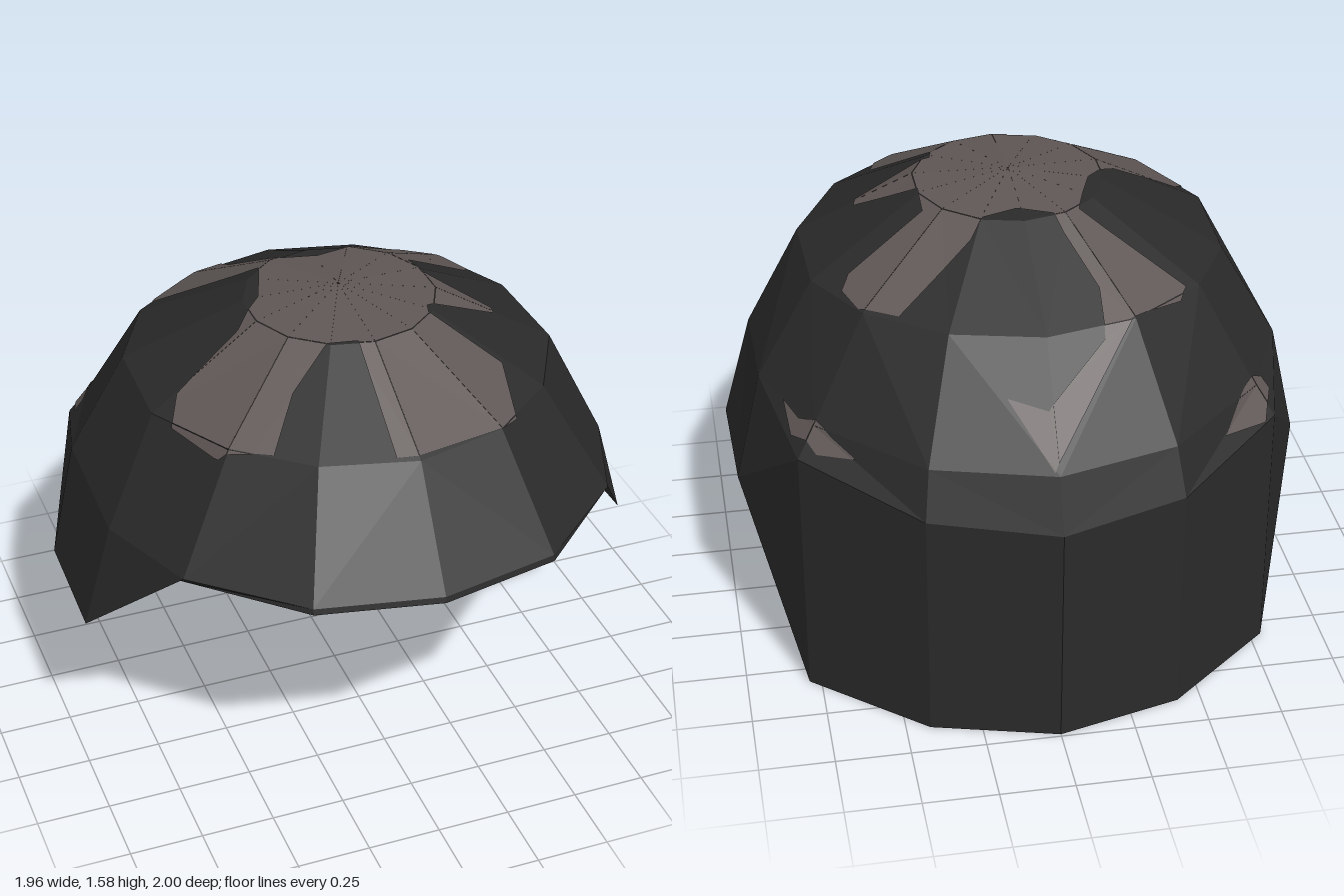
import * as THREE from 'three';

const dark = new THREE.MeshStandardMaterial({ color: 0x2a2a2a, side: THREE.DoubleSide, flatShading: true });
dark.name = 'charcoal';
const light = new THREE.MeshStandardMaterial({ color: 0x5f5755, side: THREE.DoubleSide, flatShading: true });
light.name = 'warmGrey';

// Half rings of the shell, front centre round the left side to back centre: [x, y, z]
const crown = Array.from({ length: 8 }, (_, i) => {
  const a = i * Math.PI / 7;
  return [0.32 * Math.sin(a), 1.545, 0.045 + 0.325 * Math.cos(a)];
});
const brow = [[0, 1.34, 0.77], [0.31, 1.34, 0.69], [0.54, 1.34, 0.5], [0.7, 1.33, 0.2],
  [0.69, 1.33, -0.17], [0.55, 1.34, -0.43], [0.3, 1.34, -0.61], [0, 1.34, -0.68]];
const rim = [[0, 0.97, 0.995], [0.41, 0.97, 0.91], [0.74, 0.97, 0.62], [0.88, 0.96, 0.26],
  [0.88, 1.0, -0.19], [0.73, 1.0, -0.53], [0.4, 0.98, -0.82], [0, 0.98, -0.93]];
const skirt = [[0, 0.95, 1], [0.41, 0.95, 0.915], [0.75, 0.955, 0.6], [0.98, 0.6, 0.26],
  [0.97, 0.6, -0.18], [0.79, 0.9, -0.57], [0.42, 0.82, -0.88], [0, 0.8, -1]];
const hem = skirt.map(([x, y, z], i) => (i < 5 ? [x, y, z] : [x, 0, i === 7 ? -0.99 : z]));

// Complete a ring by mirroring
const fullRing = half => [...half, ...half.slice(1, 7).reverse().map(([x, y, z]) => [-x, y, z])]
  .map(p => new THREE.Vector3(...p));

// Triangles between two rings, leaving out collapsed ones
function band(upper, lower) {
  const u = fullRing(upper), l = fullRing(lower), out = [];
  for (let i = 0; i < 14; i++) {
    const j = (i + 1) % 14;
    // mirror the diagonal on the other side
    const pair = i < 7 ? [[u[i], l[i], l[j]], [u[i], l[j], u[j]]]
      : [[u[i], l[i], u[j]], [u[j], l[i], l[j]]];
    out.push(...pair.filter(t => new THREE.Triangle(...t).getArea() > 1e-6));
  }
  return out;
}

function meshFrom(triangles, material, name) {
  const geometry = new THREE.BufferGeometry().setFromPoints(triangles.flat());
  geometry.computeVertexNormals();
  const mesh = new THREE.Mesh(geometry, material);
  mesh.name = name;
  return mesh;
}

// Lay a plan outline [x, z, x, z, ...] over the shell as a thin skin
function drape(outline, triangles) {
  const out = [];
  for (const tri of triangles) {
    const n = new THREE.Triangle(...tri).getNormal(new THREE.Vector3());
    if (n.y < 0.08) continue;
    let poly = [];
    for (let i = 0; i < outline.length; i += 2) poly.push(new THREE.Vector2(outline[i], outline[i + 1]));
    // clip the outline to the facet
    for (let k = 0; k < 3 && poly.length; k++) {
      const a = tri[k], b = tri[(k + 1) % 3];
      const side = p => (b.z - a.z) * (p.x - a.x) - (b.x - a.x) * (p.y - a.z);
      const next = [];
      poly.forEach((p, i) => {
        const q = poly[(i + 1) % poly.length], sp = side(p), sq = side(q);
        if (sp >= 0) next.push(p);
        if ((sp >= 0) !== (sq >= 0)) next.push(p.clone().lerp(q, sp / (sp - sq)));
      });
      poly = next;
    }
    if (poly.length < 3) continue;
    const lift = p => new THREE.Vector3(p.x,
      tri[0].y - (n.x * (p.x - tri[0].x) + n.z * (p.y - tri[0].z)) / n.y, p.y).addScaledVector(n, 0.004);
    for (const face of THREE.ShapeUtils.triangulateShape(poly, [])) {
      const t = face.map(i => lift(poly[i]));
      const m = new THREE.Triangle(...t).getNormal(new THREE.Vector3());
      out.push(m.dot(n) < 0 ? t.reverse() : t);
    }
  }
  return out;
}

export function createModel() {
  const group = new THREE.Group();
  group.name = 'cap';

  // Faceted dome
  const apex = new THREE.Vector3(0, 1.58, 0.035);
  const top = fullRing(crown);
  const dome = [...top.map((p, i) => [apex, p, top[(i + 1) % 14]]), ...band(crown, brow), ...band(brow, rim)];
  group.add(meshFrom(dome, dark, 'dome'));

  // Side flaps and long neck guard
  const sides = band(rim, skirt);
  group.add(meshFrom(sides, dark, 'sideFlaps'));
  group.add(meshFrom(band(skirt, hem), dark, 'neckGuard'));

  // Pale star-shaped marking on the crown and two small ones behind
  const shell = [...dome, ...sides];
  const star = [0.015, -0.92, 0.14, -0.76, 0.015, -0.81, -0.19, -0.66, -0.2, -0.51, -0.12, -0.32,
    -0.1, -0.25, 0.015, -0.21, 0.13, -0.24, 0.18, -0.31, 0.44, -0.49, 0.56, -0.41, 0.6, -0.29,
    0.57, -0.23, 0.31, -0.12, 0.31, 0, 0.51, 0.13, 0.5, 0.17, 0.24, 0.22, 0.23, 0.26, 0.42, 0.43,
    0.38, 0.64, 0.31, 0.69, 0, 0.755, -0.07, 0.74, -0.05, 0.35, -0.15, 0.33, -0.3, 0.43, -0.42, 0.59,
    -0.57, 0.49, -0.66, 0.29, -0.61, 0.19, -0.37, 0.1, -0.26, -0.02, -0.22, -0.13, -0.19, -0.22,
    -0.23, -0.25, -0.5, -0.45, -0.47, -0.5, -0.29, -0.61];
  const leftSpot = [0.61, -0.66, 0.73, -0.59, 0.8, -0.48, 0.81, -0.35, 0.77, -0.46, 0.68, -0.58];
  const rightSpot = [-0.79, -0.48, -0.75, -0.6, -0.59, -0.69, -0.68, -0.56, -0.76, -0.47];
  group.add(meshFrom(drape(star, shell), light, 'crownMarking'));
  group.add(meshFrom(drape(leftSpot, shell), light, 'leftMarking'));
  group.add(meshFrom(drape(rightSpot, shell), light, 'rightMarking'));
  return group;
}
